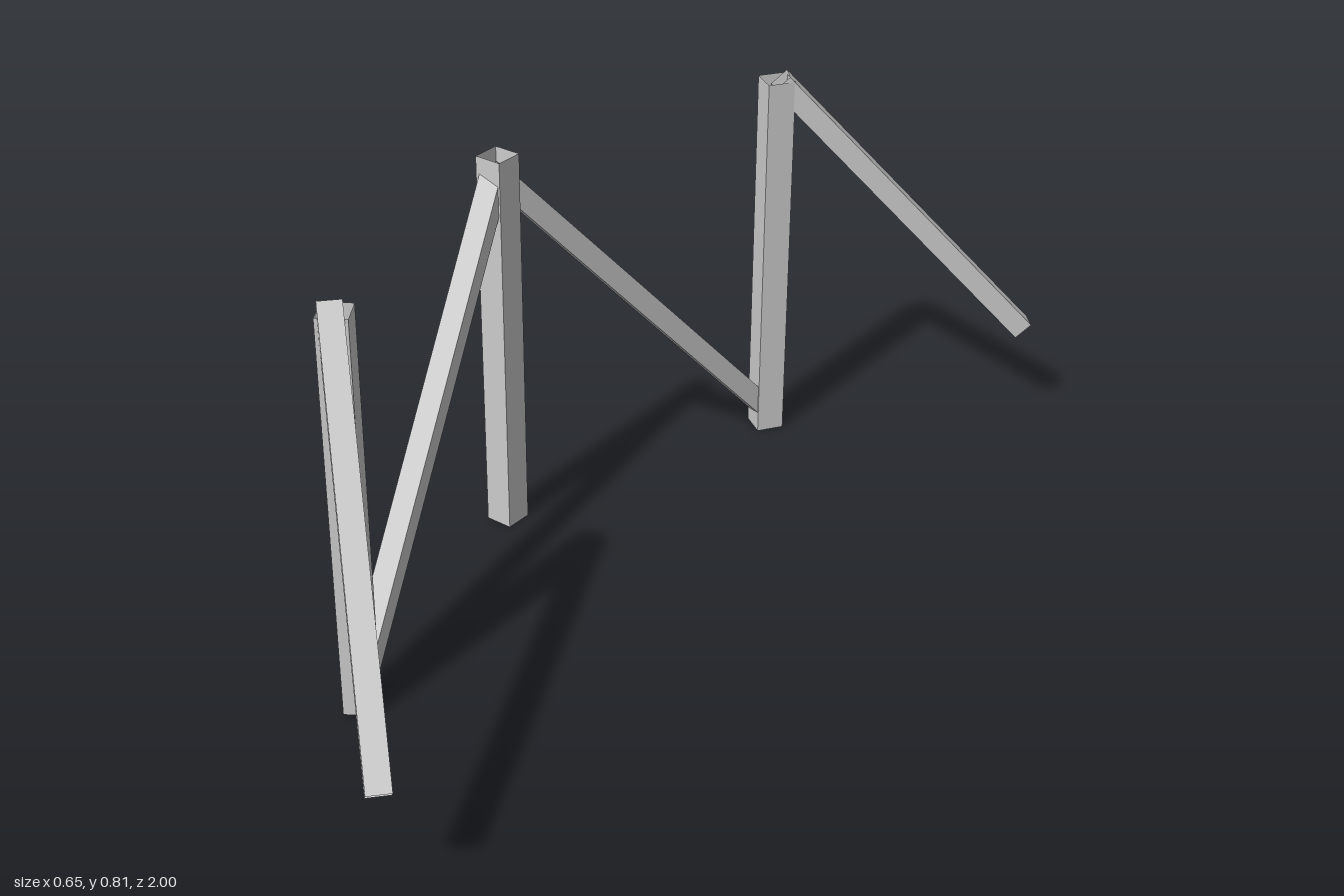
import * as THREE from 'three';

const material = new THREE.MeshStandardMaterial({
  color: 0xcccccc, flatShading: true, side: THREE.DoubleSide,
});

// Open-ended square tube standing along y
function squareTube(side, length) {
  const r = side / Math.SQRT2;
  return new THREE.CylinderGeometry(r, r, length, 4, 1, true).rotateY(Math.PI / 4);
}

// Upright post on the ground, turned about y
function post(name, x, z, turn) {
  const height = 0.78;
  const mesh = new THREE.Mesh(squareTube(0.056, height), material);
  mesh.name = name;
  mesh.position.set(x, height / 2, z);
  mesh.rotation.y = turn;
  return mesh;
}

// Sloping beam between two points, its side faces kept vertical
function beam(name, from, to) {
  const a = new THREE.Vector3(...from);
  const b = new THREE.Vector3(...to);
  const mesh = new THREE.Mesh(squareTube(0.042, a.distanceTo(b)).rotateX(Math.PI / 2), material);
  mesh.name = name;
  mesh.position.copy(a).lerp(b, 0.5);
  mesh.lookAt(b);
  return mesh;
}

export function createModel() {
  const group = new THREE.Group();
  group.name = 'zigzagFrame';
  group.add(
    // Three posts
    post('middlePost', -0.293, 0.003, 0),
    post('frontPost', -0.1, 0.625, 0.583),
    post('rearPost', -0.1, -0.613, -0.583),
    // Beams from the top of the middle post down to the feet of the others
    beam('frontInnerBeam', [-0.3, 0.74, 0.003], [-0.105, 0.04, 0.622]),
    beam('rearInnerBeam', [-0.3, 0.74, 0.003], [-0.105, 0.04, -0.612]),
    // Beams from the tops of the outer posts to the free ends
    beam('frontOuterBeam', [-0.107, 0.791, 0.628], [0.283, 0.222, 0.974]),
    beam('rearOuterBeam', [-0.095, 0.776, -0.618], [0.295, 0.207, -0.974]),
  );
  return group;
}
